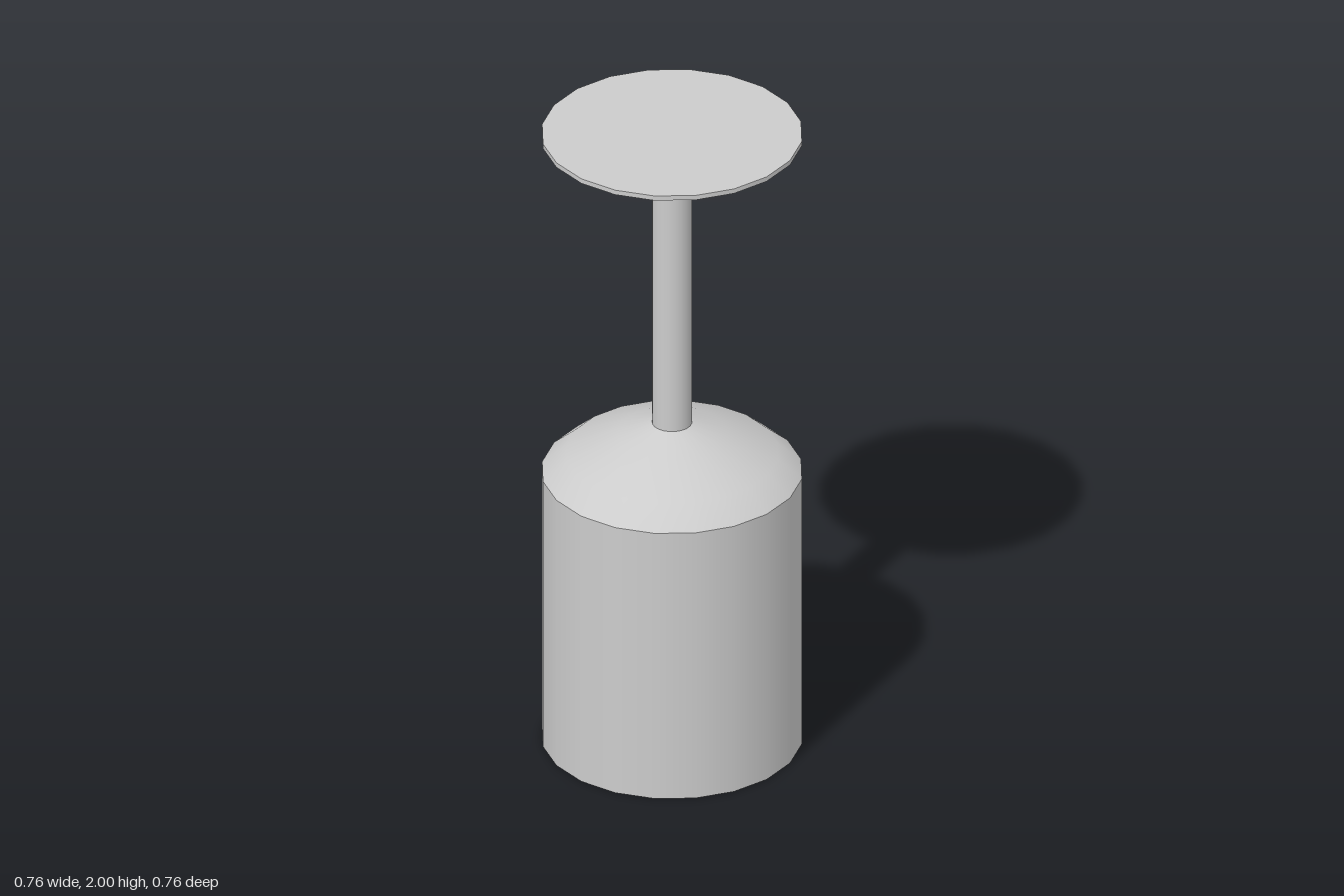
import * as THREE from 'three';

const SIDES = 20;
const material = new THREE.MeshStandardMaterial({ color: 0xcccccc });

// One smooth band of revolution; separate bands keep sharp edges between them.
function band(name, profile) {
  const points = profile.map(([r, y]) => new THREE.Vector2(r, y));
  const mesh = new THREE.Mesh(new THREE.LatheGeometry(points, SIDES), material);
  mesh.name = name;
  return mesh;
}

function part(name, ...bands) {
  const group = new THREE.Group();
  group.name = name;
  group.add(...bands);
  return group;
}

export function createModel() {
  const model = new THREE.Group();
  model.name = 'upturnedGlass';

  // Hollow bowl, open at the bottom
  model.add(part('bowl',
    band('bowlWall', [[0.38, 0], [0.38, 0.88]]),
    band('bowlShoulder', [[0.38, 0.88], [0.31, 0.94], [0.16, 1.005], [0.058, 1.04]]),
    band('bowlRim', [[0.357, 0], [0.38, 0]]),
    band('bowlInnerWall', [[0.357, 0.87], [0.357, 0]]),
    band('bowlInnerDome', [[0, 1.015], [0.06, 1.01], [0.16, 0.98], [0.295, 0.92], [0.357, 0.87]]),
  ));

  // Slim stem
  model.add(band('stem', [[0.058, 1.04], [0.058, 1.9]]));

  // Flared foot with a thin edge and flat face
  model.add(part('foot',
    band('footFlare', [[0.058, 1.9], [0.38, 1.985]]),
    band('footEdge', [[0.38, 1.985], [0.38, 2]]),
    band('footFace', [[0.38, 2], [0, 2]]),
  ));

  return model;
}
